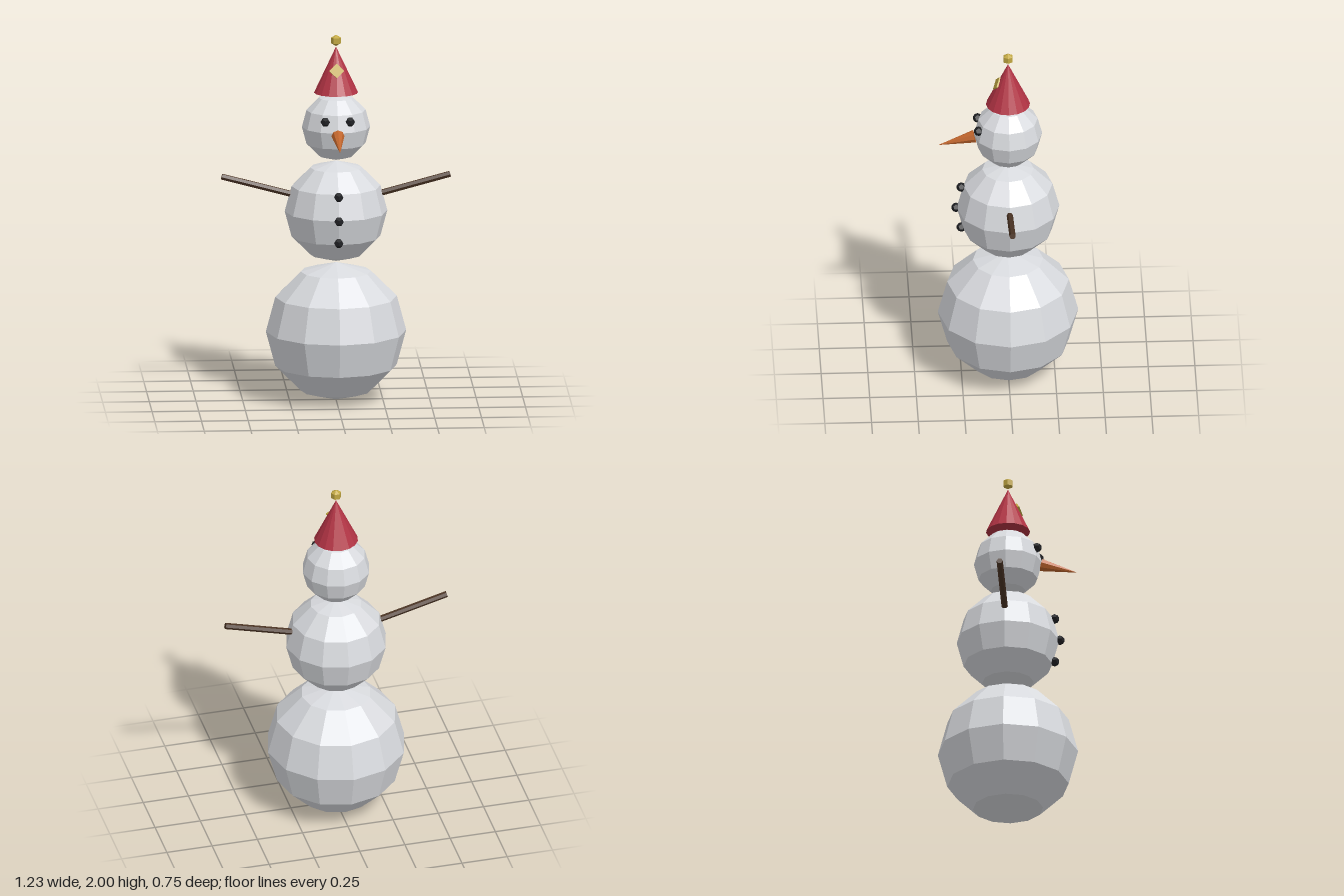
import * as THREE from 'three';

const flat = (name, color) => {
  const m = new THREE.MeshStandardMaterial({ color, flatShading: true });
  m.name = name;
  return m;
};

export function createModel() {
  const snow = flat('snow', 0xd8dade);
  const coal = flat('coal', 0x202124);
  const wood = flat('wood', 0x4c3525);
  const carrot = flat('carrot', 0xc0652c);
  const red = flat('hat red', 0xb23344);
  const gold = flat('gold', 0xc2a842);

  const model = new THREE.Group();
  model.name = 'snowman';

  const add = (name, geometry, material, x, y, z) => {
    const mesh = new THREE.Mesh(geometry, material);
    mesh.name = name;
    mesh.position.set(x, y, z);
    model.add(mesh);
    return mesh;
  };

  // Tapered rod whose axis runs from one point to another
  const rod = (name, from, to, r0, r1, sides, material) => {
    const a = new THREE.Vector3(...from), b = new THREE.Vector3(...to);
    const dir = b.clone().sub(a);
    const geometry = r1 > 0
      ? new THREE.CylinderGeometry(r1, r0, dir.length(), sides)
      : new THREE.ConeGeometry(r0, dir.length(), sides);
    const mid = a.clone().add(b).multiplyScalar(0.5);
    const mesh = add(name, geometry, material, mid.x, mid.y, mid.z);
    mesh.quaternion.setFromUnitVectors(new THREE.Vector3(0, 1, 0), dir.normalize());
    return mesh;
  };

  // Three stacked snowballs
  for (const [name, r, y] of [['base', 0.376, 0.38], ['torso', 0.275, 1.037], ['head', 0.183, 1.498]]) {
    add(name, new THREE.SphereGeometry(r, 12, 6), snow, 0, y, 0);
  }

  // Coal buttons and eyes
  const lump = new THREE.DodecahedronGeometry(0.026);
  [[1.164, 0.25], [1.037, 0.278], [0.912, 0.25]].forEach(([y, z], i) => {
    add(`button${i + 1}`, lump, coal, 0, y, z);
  });

  // Mirrored eyes and stick arms
  for (const [side, s] of [['left', 1], ['right', -1]]) {
    add(`${side}Eye`, lump, coal, s * 0.067, 1.557, 0.16);
    rod(`${side}Arm`, [s * 0.245, 1.133, 0], [s * 0.612, 1.231, 0], 0.017, 0.017, 6, wood);
  }

  // Drooping carrot nose
  rod('nose', [0, 1.484, 0.18], [0, 1.433, 0.373], 0.035, 0, 8, carrot);

  // Party hat, its diamond badge and the bobble on top
  add('hat', new THREE.ConeGeometry(0.118, 0.25, 16), red, 0, 1.81, 0);
  const badge = new THREE.BoxGeometry(0.057, 0.057, 0.009).rotateZ(Math.PI / 4);
  add('hatBadge', badge, gold, 0, 1.814, 0.059).rotation.x = -0.44;
  add('hatBobble', new THREE.SphereGeometry(0.031, 6, 3), gold, 0, 1.969, 0);

  return model;
}
